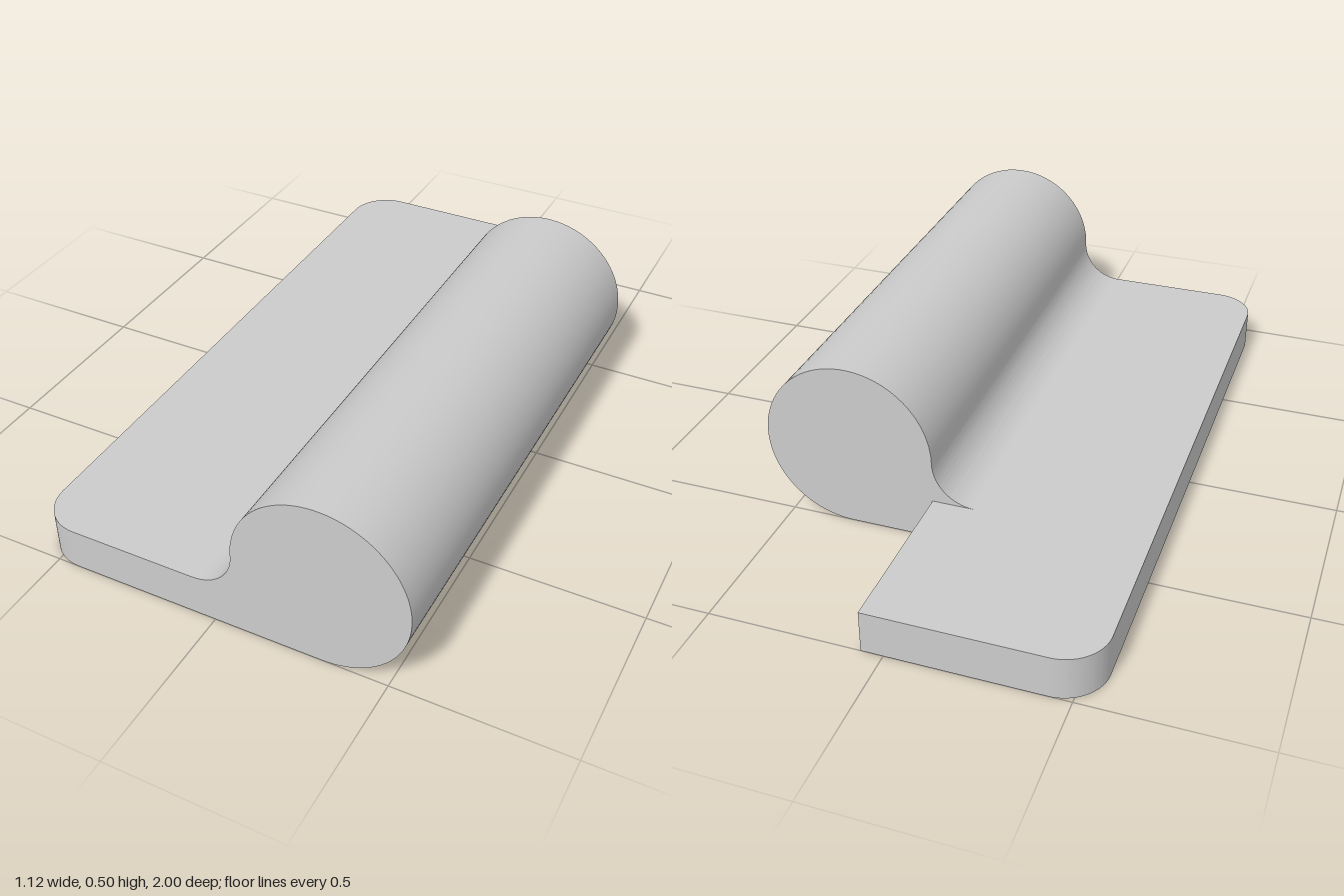
import * as THREE from 'three';
import { toCreasedNormals } from 'three/addons/utils/BufferGeometryUtils.js';

const LEFT = -0.5625;      // outer edge of the leaf
const SEAM = -0.0625;      // where the fillet starts
const EDGE = 0.0625;       // inner edge of the leaf beyond the barrel
const THICK = 0.125;
const CORNER = 0.125;
const R = 0.25;            // barrel radius
const BARREL_BACK = -0.5;

export function createModel() {
  const group = new THREE.Group();
  const material = new THREE.MeshStandardMaterial({ color: 0xcccccc });

  const addExtrusion = (name, shape, depth) => {
    const raw = new THREE.ExtrudeGeometry(shape, { depth, bevelEnabled: false, curveSegments: 32 });
    const mesh = new THREE.Mesh(toCreasedNormals(raw, 0.5), material);
    mesh.name = name;
    group.add(mesh);
    return mesh;
  };

  // Flat leaf, outlined from above (shape y = -z), with rounded outer corners
  const leaf = new THREE.Shape();
  leaf.moveTo(SEAM, -1);
  leaf.lineTo(SEAM, -BARREL_BACK);
  leaf.lineTo(EDGE, -BARREL_BACK);
  leaf.lineTo(EDGE, 1);
  leaf.lineTo(LEFT + CORNER, 1);
  leaf.absarc(LEFT + CORNER, 1 - CORNER, CORNER, Math.PI / 2, Math.PI, false);
  leaf.lineTo(LEFT, -1 + CORNER);
  leaf.absarc(LEFT + CORNER, -1 + CORNER, CORNER, Math.PI, Math.PI * 1.5, false);
  leaf.closePath();
  addExtrusion('leaf', leaf, THICK).geometry.rotateX(-Math.PI / 2);

  // Solid barrel and the concave fillet that blends it into the leaf
  const barrel = new THREE.Shape();
  barrel.moveTo(SEAM, 0);
  barrel.lineTo(EDGE + R, 0);
  barrel.absarc(EDGE + R, R, R, -Math.PI / 2, Math.PI, false);
  barrel.absarc(SEAM, R, R - THICK, 0, -Math.PI / 2, true);
  barrel.closePath();
  addExtrusion('barrel', barrel, 1 - BARREL_BACK).geometry.translate(0, 0, BARREL_BACK);

  return group;
}
